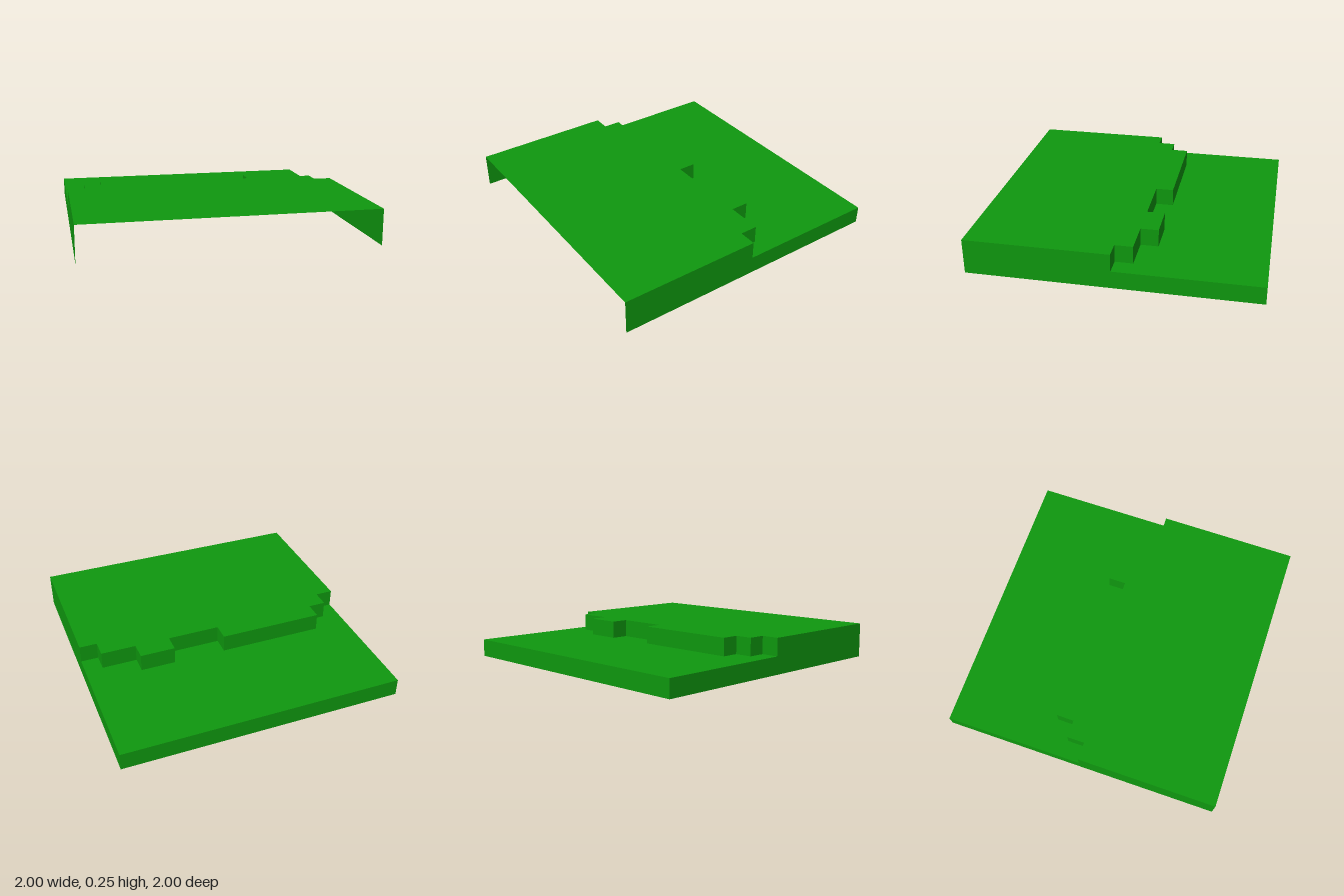
import * as THREE from 'three';

const LOW = 0.125, HIGH = 0.25;

// Stepped edge between the two levels, as [x, z] from -x to +x
const EDGE = [
  [-1, 0], [-0.875, 0], [-0.875, -0.125], [-0.75, -0.125], [-0.75, -0.25],
  [0, -0.25], [0, -0.125], [0.375, -0.125], [0.375, -0.25], [0.625, -0.25],
  [0.625, -0.125], [0.875, -0.125], [0.875, 0], [1, 0],
];

export function createModel() {
  const group = new THREE.Group();
  const green = new THREE.MeshStandardMaterial({ color: 0x0f980f, side: THREE.DoubleSide });
  green.name = 'grass green';

  const add = (name, geometry, parent = group) => {
    const mesh = new THREE.Mesh(geometry, green);
    mesh.name = name;
    parent.add(mesh);
    return mesh;
  };
  const flat = (points) =>
    new THREE.ShapeGeometry(new THREE.Shape(points.map(([a, b]) => new THREE.Vector2(a, b))));

  // Horizontal surface from an [x, z] outline
  const ground = (name, outline, y) =>
    add(name, flat(outline.map(([x, z]) => [x, -z])).rotateX(-Math.PI / 2).translate(0, y, 0));

  ground('upperGround', [...EDGE, [1, 1], [-1, 1]], HIGH);
  ground('lowerGround', [...EDGE, [1, -1], [-1, -1]], LOW);

  // Upright wall whose outer face looks to the back when a is on the -x side of b
  const wall = (name, a, b, y0, y1, parent) => {
    const dx = a[0] - b[0], dz = a[1] - b[1];
    const geometry = new THREE.PlaneGeometry(Math.hypot(dx, dz), y1 - y0)
      .rotateY(Math.atan2(-dz, dx))
      .translate((a[0] + b[0]) / 2, (y0 + y1) / 2, (a[1] + b[1]) / 2);
    return add(name, geometry, parent);
  };

  // Cliff faces along the stepped edge
  const cliff = new THREE.Group();
  cliff.name = 'cliff';
  group.add(cliff);
  for (let i = 0; i < EDGE.length - 1; i++) {
    wall('cliffFace' + (i + 1), EDGE[i], EDGE[i + 1], LOW, HIGH, cliff);
  }

  // Outer walls; front and underside stay open
  wall('backWall', [-1, -1], [1, -1], 0, LOW);
  const profile = [[1, 0], [1, HIGH], [0, HIGH], [0, LOW], [-1, LOW], [-1, 0]];
  for (const side of [1, -1]) {
    add(side > 0 ? 'leftWall' : 'rightWall',
      flat(profile.map(([z, y]) => [-side * z, y])).rotateY(side * Math.PI / 2).translate(side, 0, 0));
  }

  return group;
}
